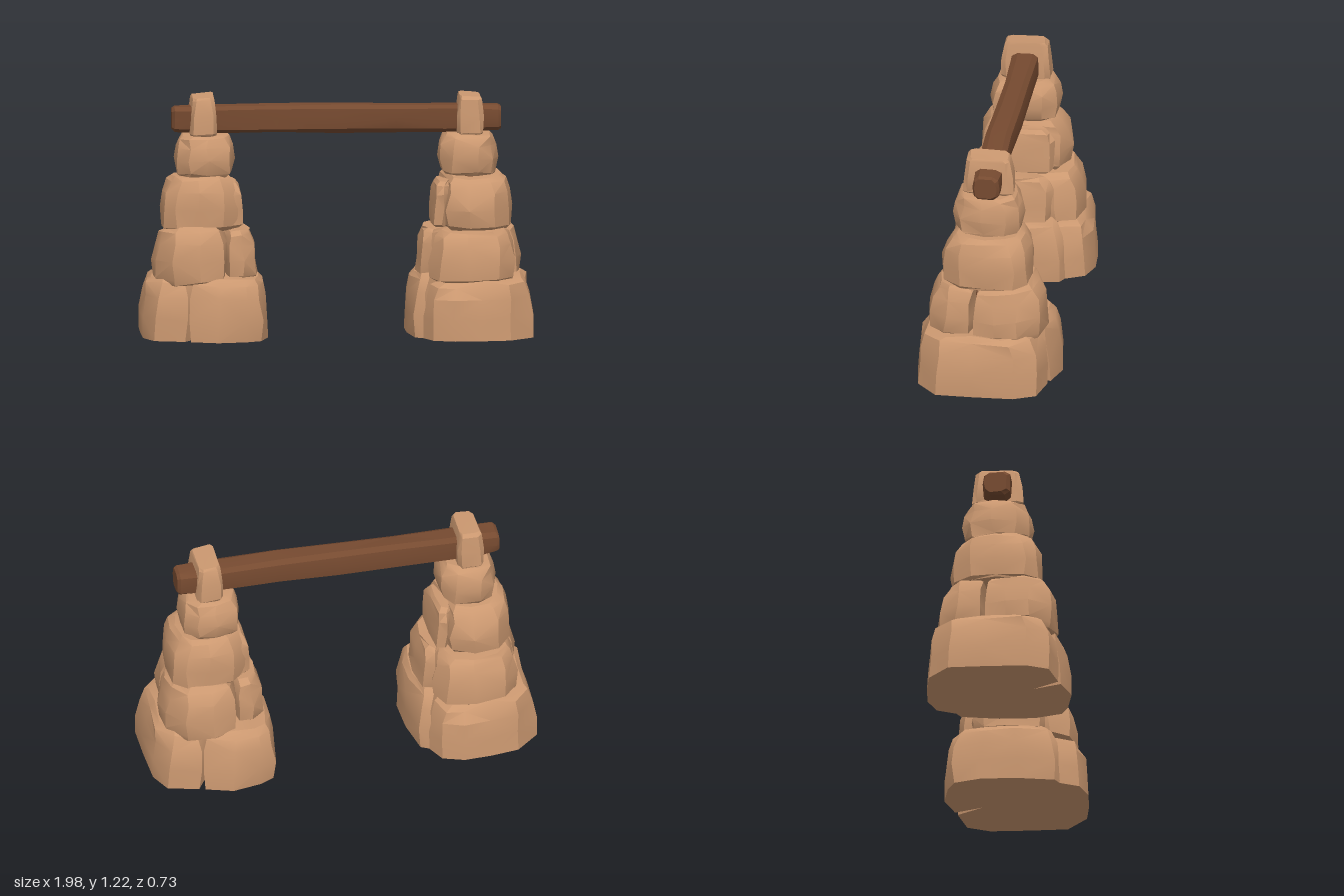
import * as THREE from 'three';
import { toCreasedNormals } from 'three/addons/utils/BufferGeometryUtils.js';

const stoneMaterial = new THREE.MeshStandardMaterial({ color: 0xcb9870 });
stoneMaterial.name = 'sandstone';
const woodMaterial = new THREE.MeshStandardMaterial({ color: 0x764a30 });
woodMaterial.name = 'brown wood';

// Small seeded generator for chiselled irregularities
let seed = 7;
const jitter = (amount) => {
  seed = (seed * 16807) % 2147483647;
  return (seed / 2147483647 - 0.5) * 2 * amount;
};

// Skin a list of equal-length rings and close both ends
function loft(rings, crease) {
  const n = rings[0].length, verts = [], index = [];
  rings.forEach((ring) => ring.forEach((p) => verts.push(...p)));
  const centre = (ring) => [0, 1, 2].map((k) => ring.reduce((s, p) => s + p[k], 0) / n);
  verts.push(...centre(rings[0]), ...centre(rings[rings.length - 1]));
  const bottom = rings.length * n, last = bottom - n;
  for (let i = 0; i < n; i++) {
    const j = (i + 1) % n;
    for (let r = 0; r < rings.length - 1; r++) {
      const a = r * n + i, b = r * n + j;
      // alternate the diagonal so the facets look hewn
      if ((i + r) % 2) index.push(a, a + n, b, b, a + n, b + n);
      else index.push(a, a + n, b + n, a, b + n, b);
    }
    index.push(bottom, i, j, bottom + 1, last + j, last + i);
  }
  const geometry = new THREE.BufferGeometry();
  geometry.setAttribute('position', new THREE.Float32BufferAttribute(verts, 3));
  geometry.setIndex(index);
  return toCreasedNormals(geometry, crease);
}

// Side profiles: [height fraction, scale about the stone's own centre]
const footProfile = [[0, 1], [0.35, 1], [0.7, 0.98], [0.92, 0.93], [1, 0.82]];
const bulgeProfile = [[0, 0.84], [0.08, 0.95], [0.4, 1], [0.72, 0.99], [0.92, 0.93], [1, 0.8]];
const capProfile = [[0, 0.92], [0.06, 1], [0.5, 1], [0.92, 0.97], [1, 0.86]];

// Stone from an (x, z) footprint; taper draws it in toward the pillar axis
function stone(name, footprint, y0, y1, profile, taper, tilt = [0, 0], rough = 0.01) {
  const n = footprint.length, axisX = 0.67;
  const cx = footprint.reduce((s, p) => s + p[0], 0) / n;
  const cz = footprint.reduce((s, p) => s + p[1], 0) / n;
  const rings = profile.map(([t, scale]) => footprint.map(([px, pz]) => {
    const pull = 1 - taper * t * t;
    const x = axisX + (cx + (px - cx) * scale - axisX) * pull;
    const z = (cz + (pz - cz) * scale) * pull;
    const y = y0 + (y1 - y0) * t + t * (tilt[0] * (x - cx) + tilt[1] * (z - cz));
    const grounded = t === 0 && y0 === 0;
    return [x + jitter(rough), grounded ? 0 : y + jitter(rough * 0.7), z + jitter(rough)];
  }));
  const mesh = new THREE.Mesh(loft(rings, 0.5), stoneMaterial);
  mesh.name = name;
  return mesh;
}

function createPillar(name) {
  seed = 7;
  const pillar = new THREE.Group();
  pillar.name = name;
  pillar.add(
    // Foot: one big stone wrapping front and outside, one at the inner back
    stone('footStoneOuter', [[0.99, -0.17], [0.99, 0.05], [0.98, 0.23], [0.87, 0.33], [0.72, 0.355],
      [0.58, 0.36], [0.47, 0.33], [0.43, 0.22], [0.6, -0.02], [0.77, -0.31], [0.92, -0.28]],
    0, 0.3, footProfile, 0.07, [0.02, -0.03]),
    stone('footStoneInner', [[0.75, -0.32], [0.63, -0.02], [0.44, 0.23], [0.385, 0.21], [0.35, 0.02],
      [0.355, -0.16], [0.38, -0.31], [0.46, -0.345], [0.6, -0.36]],
    0, 0.31, footProfile, 0.07, [0.03, 0.03]),
    // Second course: three stones
    stone('secondStoneFront', [[0.9, 0.07], [0.9, 0.2], [0.82, 0.28], [0.66, 0.305], [0.51, 0.28],
      [0.46, 0.17], [0.5, 0.06], [0.7, 0.04]],
    0.28, 0.54, bulgeProfile, 0.14, [0.02, -0.08]),
    stone('secondStoneBack', [[0.92, -0.18], [0.935, -0.06], [0.91, 0.05], [0.72, 0.05], [0.57, 0.02],
      [0.55, -0.15], [0.57, -0.28], [0.7, -0.31], [0.84, -0.29]],
    0.28, 0.56, bulgeProfile, 0.14, [-0.02, -0.08]),
    stone('secondStoneInner', [[0.56, -0.12], [0.55, 0.04], [0.47, 0.17], [0.42, 0.13], [0.4, -0.02],
      [0.41, -0.15], [0.47, -0.22], [0.54, -0.22]],
    0.3, 0.54, bulgeProfile, 0.1),
    // Third course: large stone with a sliver on the inside
    stone('thirdStoneMain', [[0.88, -0.15], [0.9, 0], [0.88, 0.14], [0.8, 0.22], [0.66, 0.24],
      [0.55, 0.2], [0.52, 0.04], [0.5, -0.14], [0.56, -0.22], [0.7, -0.24], [0.82, -0.22]],
    0.54, 0.81, bulgeProfile, 0.17, [-0.02, -0.07]),
    stone('thirdStoneInner', [[0.58, -0.1], [0.57, 0.1], [0.53, 0.17], [0.49, 0.14], [0.47, 0],
      [0.48, -0.14], [0.54, -0.17]],
    0.55, 0.78, bulgeProfile, 0.1),
    // Fourth course: single stone
    stone('fourthStone', [[0.81, -0.1], [0.82, 0.02], [0.79, 0.13], [0.71, 0.18], [0.58, 0.175],
      [0.52, 0.1], [0.51, -0.04], [0.54, -0.15], [0.65, -0.18], [0.75, -0.17]],
    0.81, 1.02, bulgeProfile, 0.13, [-0.04, 0]),
    // Cap block clasping the beam
    stone('capStone', [[0.74, -0.1], [0.74, 0.1], [0.72, 0.13], [0.62, 0.13], [0.605, 0.1],
      [0.605, -0.1], [0.625, -0.13], [0.72, -0.13]],
    1.015, 1.21, capProfile, 0.15, [-0.06, 0], 0.005),
  );
  // Inner post glimpsed through the gaps between stones
  const core = new THREE.Mesh(new THREE.CylinderGeometry(0.08, 0.13, 0.94, 8), woodMaterial);
  core.name = 'innerPost';
  core.position.set(0.67, 0.48, 0);
  pillar.add(core);
  return pillar;
}

// Hewn beam: chamfered section swept along x
function createBeam() {
  const section = [[1, 0.55], [1, -0.55], [0.72, -0.94], [0, -1], [-0.72, -0.94],
    [-1, -0.55], [-1, 0.55], [-0.72, 0.94], [0, 1], [0.72, 0.94]];
  // [x, half height, half width]
  const stations = [[-0.83, 0.052, 0.056], [-0.815, 0.062, 0.068], [-0.72, 0.066, 0.072],
    [-0.55, 0.068, 0.07], [-0.3, 0.069, 0.066], [0, 0.071, 0.068], [0.3, 0.069, 0.066],
    [0.55, 0.068, 0.07], [0.72, 0.066, 0.072], [0.815, 0.062, 0.068], [0.83, 0.052, 0.056]];
  const rings = stations.map(([x, h, w]) => {
    const dz = jitter(0.006);
    return section.map(([sy, sz]) => [x, 1.092 + sy * h + jitter(0.003), dz + sz * w + jitter(0.004)]);
  });
  const beam = new THREE.Mesh(loft(rings, 0.45), woodMaterial);
  beam.name = 'beam';
  return beam;
}

export function createModel() {
  const model = new THREE.Group();
  model.name = 'stoneGate';
  const left = createPillar('leftPillar');
  const right = createPillar('rightPillar');
  right.rotation.y = Math.PI; // same pillar turned half round
  model.add(left, right, createBeam());
  return model;
}
